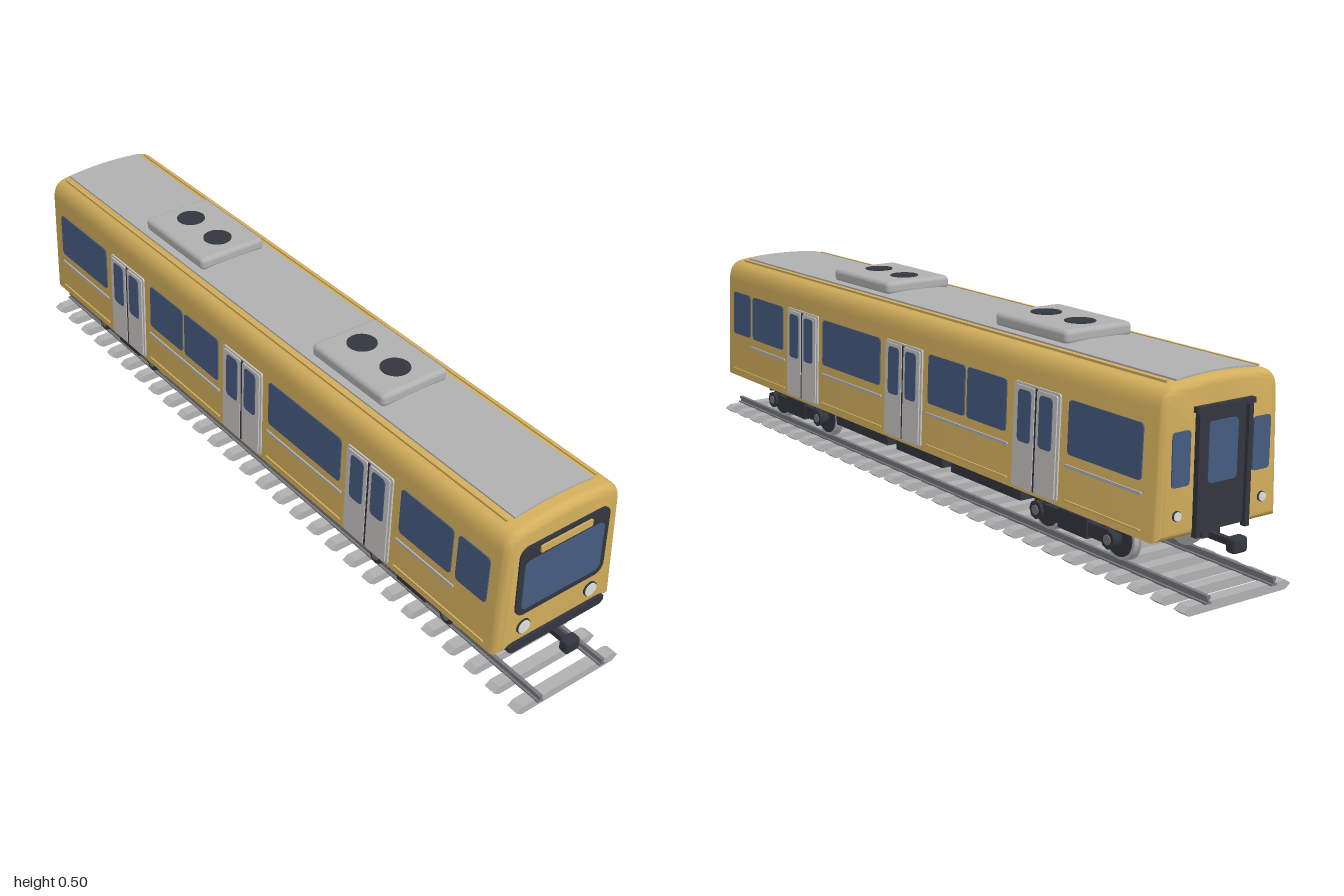
import * as THREE from 'three';
import { toCreasedNormals } from 'three/addons/utils/BufferGeometryUtils.js';
import { RoundedBoxGeometry } from 'three/addons/geometries/RoundedBoxGeometry.js';

const paint = (name, color) => {
  const m = new THREE.MeshStandardMaterial({ color });
  m.name = name;
  return m;
};

export function createModel() {
  const yellow = paint('bodyYellow', 0xd2ae5c);
  const glass = paint('windowBlue', 0x465b80);
  const dark = paint('darkMetal', 0x32363e);
  const grey = paint('roofGrey', 0xb0b0b1);
  const doorGrey = paint('doorGrey', 0xc8c6c4);
  const steel = paint('railSteel', 0x75777b);
  const lampWhite = paint('lampWhite', 0xdededa);

  const model = new THREE.Group();
  model.name = 'railCarOnTrack';

  const add = (parent, name, geo, mat, x = 0, y = 0, z = 0) => {
    const mesh = new THREE.Mesh(geo, mat);
    mesh.name = name;
    mesh.position.set(x, y, z);
    parent.add(mesh);
    return mesh;
  };
  const box = (parent, name, w, h, d, mat, x, y, z) =>
    add(parent, name, new THREE.BoxGeometry(w, h, d), mat, x, y, z);
  const group = (parent, name) => {
    const g = new THREE.Group();
    g.name = name;
    parent.add(g);
    return g;
  };
  // Cylinder lying along x
  const disc = (parent, name, r, len, mat, x, y, z, sides = 24) => {
    const c = add(parent, name, new THREE.CylinderGeometry(r, r, len, sides), mat, x, y, z);
    c.rotation.z = Math.PI / 2;
    return c;
  };
  const roundedRect = (x0, x1, y0, y1, r) => {
    const s = new THREE.Shape();
    s.moveTo(x0 + r, y0);
    s.absarc(x1 - r, y0 + r, r, -Math.PI / 2, 0);
    s.absarc(x1 - r, y1 - r, r, 0, Math.PI / 2);
    s.absarc(x0 + r, y1 - r, r, Math.PI / 2, Math.PI);
    s.absarc(x0 + r, y0 + r, r, Math.PI, Math.PI * 1.5);
    return s;
  };
  // Thin rounded plate facing +z, from z to z + depth
  const plate = (parent, name, x0, x1, y0, y1, r, mat, z = 0, depth = 0.003) =>
    add(parent, name, new THREE.ExtrudeGeometry(
      roundedRect(Math.min(x0, x1), Math.max(x0, x1), y0, y1, r),
      { depth, bevelEnabled: false, curveSegments: 6 }), mat, 0, 0, z);

  // Body shell: tapered sides and a shallow crown, rounded at both ends
  const shell = new THREE.Shape();
  shell.moveTo(-0.1695, 0.137);
  shell.lineTo(0.1695, 0.137);
  shell.lineTo(0.16, 0.41);
  shell.bezierCurveTo(0.158, 0.445, 0.143, 0.459, 0.115, 0.4625);
  shell.quadraticCurveTo(0, 0.4775, -0.115, 0.4625);
  shell.bezierCurveTo(-0.143, 0.459, -0.158, 0.445, -0.16, 0.41);
  const R = 0.02;
  const shellGeo = new THREE.ExtrudeGeometry(shell, {
    depth: 1.855 - 2 * R, bevelThickness: R, bevelSize: R, bevelOffset: -R,
    bevelSegments: 5, curveSegments: 10,
  });
  add(model, 'bodyShell', toCreasedNormals(shellGeo, 0.6), yellow, 0, 0, -0.925 + R);

  // Roof skin and its side gutters
  const skin = new THREE.Shape();
  skin.moveTo(-0.11, 0.459);
  skin.lineTo(0.11, 0.459);
  skin.lineTo(0.11, 0.467);
  skin.quadraticCurveTo(0, 0.4805, -0.11, 0.467);
  add(model, 'roofPanel', toCreasedNormals(new THREE.ExtrudeGeometry(skin,
    { depth: 1.795, bevelEnabled: false, curveSegments: 10 }), 0.5), grey, 0, 0, -0.905);
  for (const s of [-1, 1]) box(model, 'roofGutter', 0.006, 0.008, 1.78, yellow, s * 0.125, 0.461, -0.005);

  // Roof units with two fans each
  for (const [z, fans] of [[-0.404, [-0.466, -0.344]], [0.312, [0.249, 0.37]]]) {
    add(model, 'roofUnit', new RoundedBoxGeometry(0.188, 0.034, 0.264, 3, 0.012), grey, 0, 0.482, z);
    for (const f of fans)
      add(model, 'roofFan', new THREE.CylinderGeometry(0.036, 0.036, 0.004, 28), dark, 0, 0.4985, f);
  }

  // Sides: windows, trim strips and double doors
  const windows = [[0.885, 0.788], [0.772, 0.6], [0.387, 0.108], [-0.106, -0.256], [-0.266, -0.416], [-0.636, -0.872]];
  const strips = [[0.785, 0.59], [0.395, 0.1], [-0.1, -0.425], [-0.63, -0.875]];
  const sills = [[0.89, 0.59], [0.395, 0.1], [-0.1, -0.425], [-0.63, -0.875]];
  const doors = [0.491, 0, -0.527];
  for (const s of [-1, 1]) {
    const side = group(model, s > 0 ? 'leftSide' : 'rightSide');
    side.rotation.order = 'YXZ';
    side.rotation.set(-0.0348, s * Math.PI / 2, 0);
    side.position.set(s * 0.1695, 0.137, 0);
    const u = z => -s * z;
    for (const [a, b] of windows) plate(side, 'sideWindow', u(a), u(b), 0.122, 0.241, 0.01, glass);
    for (const [a, b] of strips) plate(side, 'trimStrip', u(a), u(b), 0.092, 0.099, 0.003, grey, 0, 0.004);
    for (const [a, b] of sills) plate(side, 'sillStrip', u(a), u(b), 0.016, 0.021, 0.002, yellow, 0, 0.004);
    for (const d of doors) {
      plate(side, 'doorFrame', u(d) - 0.081, u(d) + 0.081, 0.008, 0.246, 0.006, doorGrey, 0, 0.004);
      plate(side, 'doorSeam', u(d) - 0.003, u(d) + 0.003, 0.01, 0.242, 0.001, dark, 0.004, 0.002);
      for (const k of [-1, 1]) {
        plate(side, 'doorLeaf', u(d) + k * 0.004, u(d) + k * 0.074, 0.01, 0.24, 0.005, doorGrey, 0, 0.007);
        plate(side, 'doorWindow', u(d) + k * 0.015, u(d) + k * 0.06, 0.115, 0.232, 0.01, glass, 0.007, 0.002);
      }
    }
  }

  // Cab end
  const front = group(model, 'cabEnd');
  front.position.z = 0.93;
  plate(front, 'windscreenSurround', -0.127, 0.127, 0.23, 0.416, 0.025, dark, -0.001, 0.005);
  plate(front, 'windscreen', -0.113, 0.113, 0.246, 0.377, 0.015, glass, 0.004, 0.002);
  plate(front, 'destinationPanel', -0.073, 0.073, 0.386, 0.404, 0.003, yellow, 0.004, 0.004);
  const bumper = new THREE.Shape([[-0.13, 0.134], [0.13, 0.134], [0.139, 0.142], [0.139, 0.154],
    [0.128, 0.158], [-0.128, 0.158], [-0.139, 0.154], [-0.139, 0.142]].map(p => new THREE.Vector2(...p)));
  add(front, 'bumper', new THREE.ExtrudeGeometry(bumper, { depth: 0.02, bevelEnabled: false }), dark, 0, 0, -0.013);
  const lamp = (parent, x, y, r) => {
    for (const [name, rad, len, mat] of [['lampRing', r, 0.008, dark], ['lampLens', r * 0.88, 0.012, lampWhite]])
      add(parent, name, new THREE.CylinderGeometry(rad, rad, len, 24), mat, x, y, 0).rotation.x = Math.PI / 2;
  };
  for (const s of [-1, 1]) lamp(front, s * 0.097, 0.192, 0.0185);

  // Gangway end
  const back = group(model, 'gangwayEnd');
  back.position.z = -0.925;
  back.rotation.y = Math.PI;
  plate(back, 'endDoor', -0.062, 0.062, 0.145, 0.4, 0.008, dark, -0.001, 0.005);
  plate(back, 'endDoorWindow', -0.04, 0.04, 0.245, 0.375, 0.01, glass, 0.004, 0.002);
  box(back, 'doorHeader', 0.16, 0.012, 0.014, dark, 0, 0.405, 0.006);
  for (const s of [-1, 1]) {
    box(back, 'doorPost', 0.012, 0.27, 0.014, dark, s * 0.068, 0.272, 0.006);
    plate(back, 'endWindow', s * 0.087, s * 0.135, 0.25, 0.365, 0.008, glass);
    lamp(back, s * 0.118, 0.19, 0.011);
  }

  // Couplers at both ends
  for (const s of [-1, 1]) {
    const c = group(model, 'coupler');
    box(c, 'couplerShaft', 0.014, 0.014, 0.12, dark, 0, 0.123, s * 0.92);
    box(c, 'couplerMount', 0.05, 0.02, 0.03, dark, 0, 0.128, s * 0.89);
    add(c, 'couplerHead', new RoundedBoxGeometry(0.04, 0.034, 0.027, 2, 0.007), dark, 0, 0.123, s * 0.979);
  }

  // Equipment boxes under the floor
  for (const [a, b] of [[0.408, 0.156], [0.114, -0.09], [-0.127, -0.405]])
    box(model, 'equipmentBox', 0.23, 0.056, a - b, dark, 0, 0.113, (a + b) / 2);

  // Bogies
  for (const c of [0.607, -0.608]) {
    const bogie = group(model, 'bogie');
    bogie.position.z = c;
    box(bogie, 'bolster', 0.17, 0.055, 0.1, dark, 0, 0.11, 0);
    for (const s of [-1, 1]) {
      box(bogie, 'sideFrame', 0.016, 0.032, 0.25, dark, s * 0.117, 0.09, 0);
      box(bogie, 'frameCentre', 0.022, 0.045, 0.1, dark, s * 0.117, 0.09, 0);
    }
    for (const z of [-0.124, 0.124]) {
      disc(bogie, 'axle', 0.012, 0.24, dark, 0, 0.088, z, 12);
      for (const s of [-1, 1]) {
        disc(bogie, 'wheel', 0.05, 0.015, grey, s * 0.0925, 0.088, z, 32);
        disc(bogie, 'wheelFlange', 0.053, 0.004, grey, s * 0.084, 0.088, z, 32);
        disc(bogie, 'wheelDisc', 0.043, 0.004, dark, s * 0.1, 0.088, z, 32);
        disc(bogie, 'axleBox', 0.022, 0.022, dark, s * 0.122, 0.088, z, 8);
        disc(bogie, 'axleCap', 0.012, 0.004, steel, s * 0.133, 0.088, z, 8);
        for (const k of [-1, 1]) for (let i = 0; i < 3; i++)
          add(bogie, 'springCoil', new THREE.TorusGeometry(0.008, 0.003, 6, 12), dark,
            s * 0.116, 0.112 + i * 0.008, z + k * 0.024).rotation.x = Math.PI / 2;
      }
    }
  }

  // Rails with foot, web and head
  const track = group(model, 'track');
  for (const s of [-1, 1]) {
    box(track, 'railFoot', 0.016, 0.004, 2, steel, s * 0.092, 0.022, 0);
    box(track, 'railWeb', 0.004, 0.01, 2, steel, s * 0.092, 0.028, 0);
    box(track, 'railHead', 0.009, 0.007, 2, steel, s * 0.092, 0.0345, 0);
  }
  // Sleepers with pointed ends
  const outline = new THREE.Shape([[-0.135, 0], [0.135, 0], [0.15, 0.011], [0.135, 0.021], [-0.135, 0.021], [-0.15, 0.011]]
    .map(p => new THREE.Vector2(...p)));
  const sleeperGeo = new THREE.ExtrudeGeometry(outline, { depth: 0.03, bevelEnabled: false });
  for (let i = 0; i < 28; i++) add(track, 'sleeper', sleeperGeo, grey, 0, 0, -0.99 + i * 1.95 / 27);

  return model;
}
